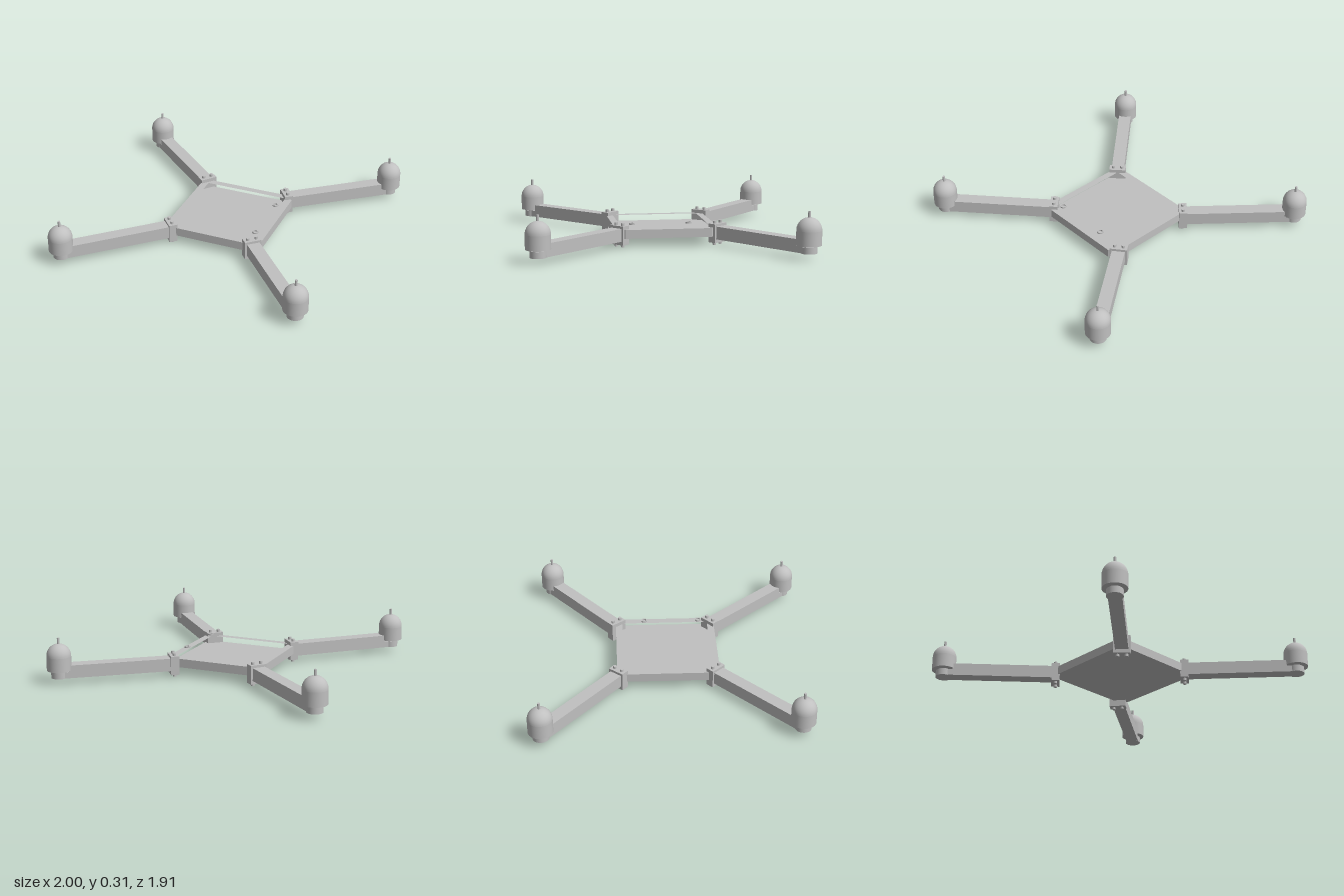
import * as THREE from 'three';

const grey = new THREE.MeshStandardMaterial({ color: 0xc0c0c0 });
grey.name = 'grey';

function add(parent, name, geometry, x = 0, y = 0, z = 0) {
  const mesh = new THREE.Mesh(geometry, grey);
  mesh.name = name;
  mesh.position.set(x, y, z);
  parent.add(mesh);
  return mesh;
}

// Flat slab from plan points [x, z], between two heights
function slab(points, y0, y1, hole) {
  const toV = ([x, z]) => new THREE.Vector2(x, -z);
  const shape = new THREE.Shape(points.map(toV));
  if (hole) shape.holes.push(new THREE.Path(hole.map(toV)));
  const g = new THREE.ExtrudeGeometry(shape, { depth: y1 - y0, bevelEnabled: false });
  return g.rotateX(-Math.PI / 2).translate(0, y0, 0);
}

// Closed lathe drawn from separate runs so that rims stay sharp
function addLathe(parent, name, runs, segments = 40) {
  const g = new THREE.Group();
  g.name = name;
  runs.forEach((run, i) => add(g, name + 'Part' + (i + 1),
    new THREE.LatheGeometry(run.map(([r, y]) => new THREE.Vector2(r, y)), segments)));
  parent.add(g);
  return g;
}

function buildMotor() {
  const motor = new THREE.Group();
  motor.name = 'motor';
  const R = 0.083, seam = 0.19;
  const dome = [];
  for (let i = 0; i <= 12; i++) {
    const a = (i / 12) * Math.PI / 2;
    dome.push([R * Math.cos(a), seam + 0.085 * Math.sin(a)]);
  }
  addLathe(motor, 'motorBell', [[[0, 0.093], [R, 0.093]], [[R, 0.093], [R, seam]], dome]);
  add(motor, 'motorNeck', new THREE.CylinderGeometry(0.045, 0.045, 0.03, 32), 0, 0.09, 0);
  add(motor, 'motorShaft', new THREE.CylinderGeometry(0.009, 0.009, 0.06, 16), 0, 0.285, 0);
  return motor;
}

// Clamp centre and motor centre of one arm, in plan; local +x runs outwards
function buildArm([cx, cz], [mx, mz], name) {
  const arm = new THREE.Group();
  arm.name = name;
  arm.position.set(cx, 0, cz);
  arm.rotation.y = -Math.atan2(mz - cz, mx - cx);
  const L = Math.hypot(mx - cx, mz - cz);

  // Beam, with a low rounded seat under the motor
  const beamEnd = L - 0.065;
  add(arm, 'armBeam', new THREE.BoxGeometry(beamEnd, 0.088, 0.09), beamEnd / 2, 0.086, 0);
  add(arm, 'motorSeatBridge', new THREE.BoxGeometry(0.08, 0.043, 0.09), L - 0.04, 0.0635, 0);
  add(arm, 'motorSeat', new THREE.CylinderGeometry(0.055, 0.055, 0.044, 32), L, 0.063, 0);
  const motor = buildMotor();
  motor.position.x = L;
  arm.add(motor);

  // Corner clamp with two through bolts
  add(arm, 'clamp', new THREE.BoxGeometry(0.058, 0.13, 0.118), 0, 0.082, 0);
  for (const s of [-1, 1]) {
    add(arm, 'clampBolt', new THREE.CylinderGeometry(0.012, 0.012, 0.165, 16), 0, 0.0825, s * 0.03);
  }
  return arm;
}

export function createModel() {
  const model = new THREE.Group();
  model.name = 'quadcopterFrame';

  // Shallow open tray
  const outer = [
    [-0.30, -0.378], [0.30, -0.385], [0.352, -0.33], [0.352, 0.26],
    [0.30, 0.32], [-0.29, 0.325], [-0.345, 0.265], [-0.345, -0.33],
  ];
  const inner = [[-0.295, -0.332], [0.30, -0.338], [0.30, 0.272], [-0.295, 0.278]];
  add(model, 'trayRim', slab(outer, 0.072, 0.122, inner));
  add(model, 'trayFloor', slab(outer, 0.062, 0.072));

  // Two small washers above the left rim
  for (const z of [-0.18, 0.207]) {
    const ring = new THREE.Shape().absarc(0, 0, 0.021, 0, Math.PI * 2);
    ring.holes.push(new THREE.Path().absarc(0, 0, 0.014, 0, Math.PI * 2, true));
    const g = new THREE.ExtrudeGeometry(ring, { depth: 0.01, bevelEnabled: false, curveSegments: 16 });
    add(model, 'washer', g.rotateX(-Math.PI / 2), 0.285, 0.148, z);
  }

  // Four arms, each with its own slightly different angle
  model.add(buildArm([-0.32, -0.37], [-0.917, -0.875], 'backRightArm'));
  model.add(buildArm([0.295, -0.38], [0.913, -0.86], 'backLeftArm'));
  model.add(buildArm([-0.31, 0.295], [-0.88, 0.828], 'frontRightArm'));
  model.add(buildArm([0.295, 0.295], [0.818, 0.869], 'frontLeftArm'));
  return model;
}
